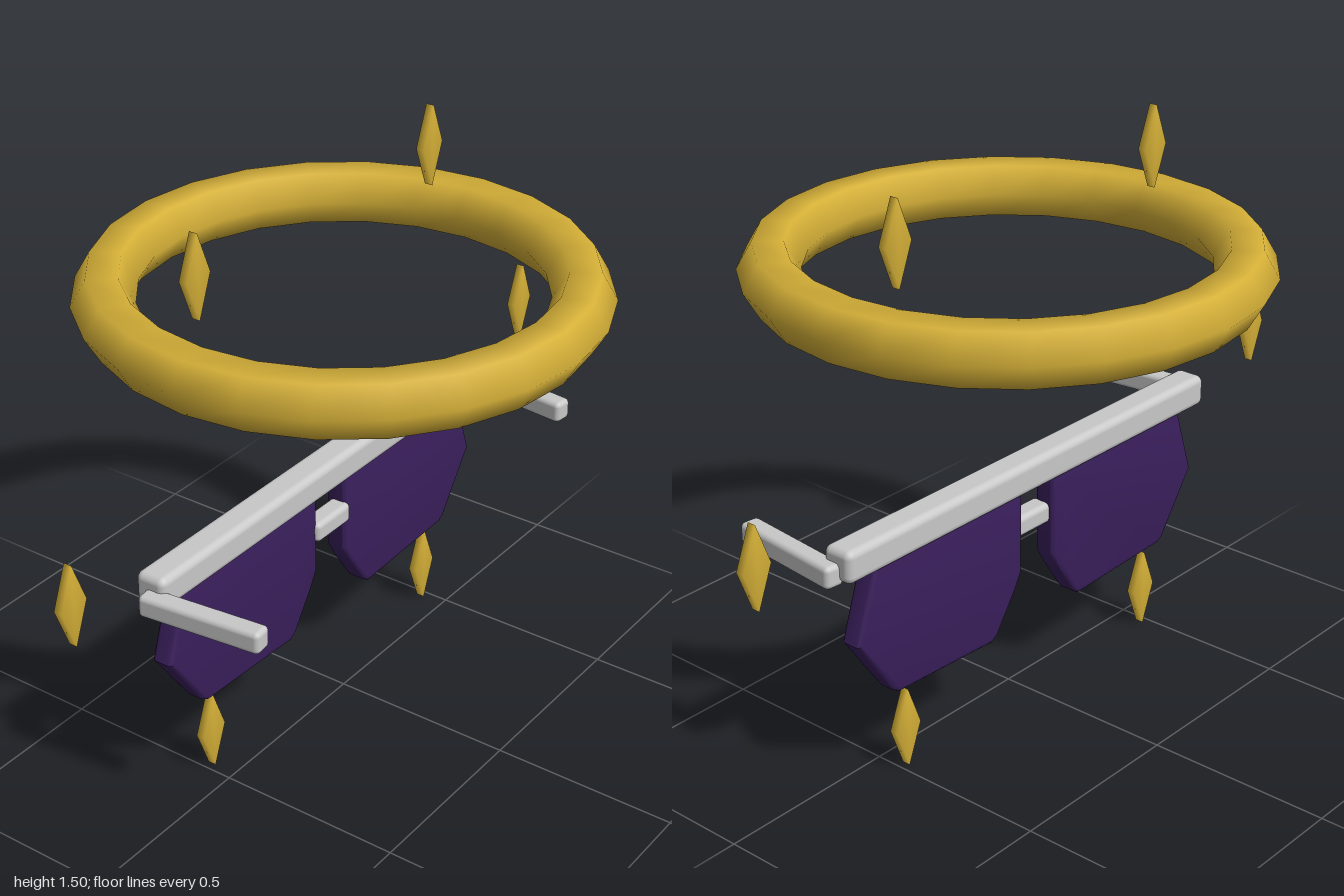
import * as THREE from 'three';
import { mergeVertices, toCreasedNormals } from 'three/addons/utils/BufferGeometryUtils.js';
import { RoundedBoxGeometry } from 'three/addons/geometries/RoundedBoxGeometry.js';

function material(name, color) {
  const m = new THREE.MeshStandardMaterial({ color });
  m.name = name;
  return m;
}

// Extrudes an outline so that it is centred on z = 0
function plate(points, depth, bevel) {
  const shape = new THREE.Shape(points.map(([x, y]) => new THREE.Vector2(x, y)));
  const geometry = new THREE.ExtrudeGeometry(shape, {
    depth: depth - 2 * bevel,
    bevelEnabled: bevel > 0,
    bevelSize: bevel,
    bevelThickness: bevel,
    bevelOffset: -bevel,
    bevelSegments: 3,
  });
  geometry.translate(0, 0, bevel - depth / 2);
  return geometry;
}

export function createModel() {
  const model = new THREE.Group();
  model.name = 'haloGlasses';
  const gold = material('gold', 0xd4af37);
  const silver = material('silver', 0xc8c8c8);
  const purple = material('purple', 0x3a1f5c);

  function add(name, geometry, mat, x, y, z) {
    const mesh = new THREE.Mesh(geometry, mat);
    mesh.name = name;
    mesh.position.set(x, y, z);
    model.add(mesh);
    return mesh;
  }

  // Halo ring with a six-sided tube
  const ring = new THREE.TorusGeometry(0.588, 0.08, 6, 24);
  ring.rotateX(Math.PI / 2);
  add('halo', ring, gold, 0, 1.19, 0);

  // Brow bar and nose bridge
  add('browBar', new RoundedBoxGeometry(1.39, 0.087, 0.087, 3, 0.02), silver, 0, 0.647, -0.067);
  add('bridge', new RoundedBoxGeometry(0.145, 0.057, 0.06, 3, 0.015), silver, 0, 0.502, -0.057);

  // Lens outline for the +x side, mirrored for the other
  const outline = [[0.06, 0.385], [0.085, 0.34], [0.155, 0.238], [0.175, 0.224],
    [0.52, 0.238], [0.54, 0.25], [0.66, 0.42], [0.59, 0.63], [0.06, 0.63]];

  for (const side of [1, -1]) {
    const points = outline.map(([x, y]) => [x * side, y]);
    const lens = toCreasedNormals(plate(points, 0.06, 0.012), 0.6);
    add(side > 0 ? 'leftLens' : 'rightLens', lens, purple, 0, 0, -0.07);

    // Temple arms lean inwards towards their tips
    const arm = new RoundedBoxGeometry(0.055, 0.06, 0.335, 3, 0.014);
    const temple = add(side > 0 ? 'leftTemple' : 'rightTemple', arm, silver, side * 0.688, 0.625, 0.09);
    temple.rotation.y = -side * 0.11;
  }

  // Floating diamond sparkles, softly shaded
  let sparkle = plate([[0, -0.11], [0.043, 0], [0, 0.11], [-0.043, 0]], 0.023, 0);
  sparkle.deleteAttribute('normal');
  sparkle.deleteAttribute('uv');
  sparkle = mergeVertices(sparkle);
  sparkle.computeVertexNormals();
  for (const [x, y] of [[0.478, 1.388], [0.957, 0.752], [0.478, 0.11]]) {
    for (const side of [1, -1]) add('sparkle', sparkle, gold, side * x, y, -0.073);
  }

  return model;
}
